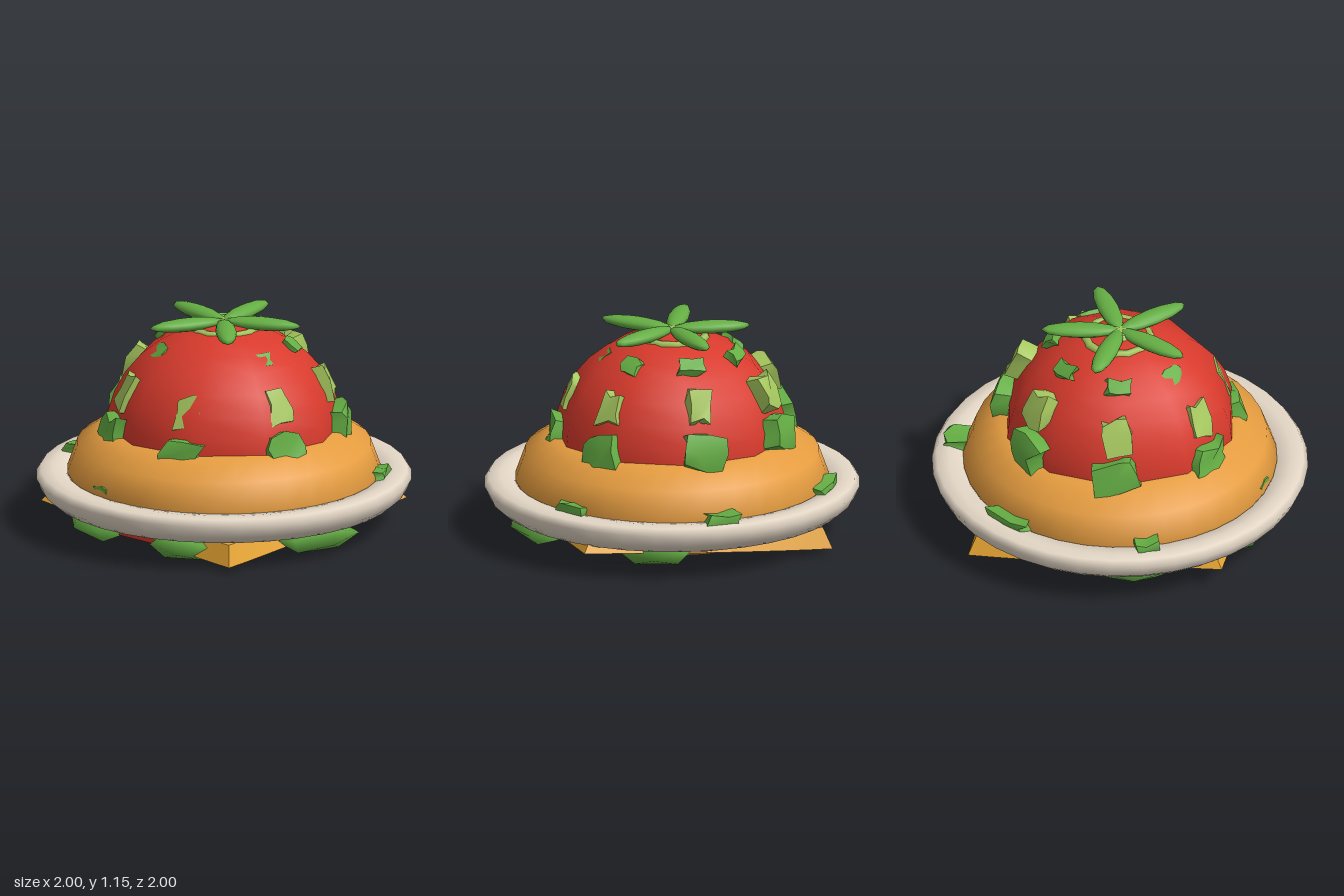
import * as THREE from 'three';
import { mergeVertices } from 'three/addons/utils/BufferGeometryUtils.js';

const mat = (name, color) => {
  const m = new THREE.MeshStandardMaterial({ color });
  m.name = name;
  return m;
};

export function createModel() {
  const model = new THREE.Group();
  const red = mat('tomatoRed', 0xd83a2c);
  const orange = mat('bunOrange', 0xe69d40);
  const cream = mat('plateCream', 0xe3d6c5);
  const yellow = mat('cheeseYellow', 0xe4a332);
  const green = mat('leafGreen', 0x65ae44);
  const lime = mat('paleGreen', 0xa6c75e);

  let seed = 7;
  const rnd = () => (seed = (seed * 16807) % 2147483647) / 2147483647 - 0.5;

  const add = (name, geo, material, x = 0, y = 0, z = 0, parent = model) => {
    const mesh = new THREE.Mesh(geo, material);
    mesh.name = name;
    mesh.position.set(x, y, z);
    parent.add(mesh);
    return mesh;
  };

  // plate rim
  const rim = [[0.79, 0.24], [0.83, 0.175], [0.92, 0.158], [0.97, 0.2], [1.0, 0.265], [0.975, 0.302],
    [0.91, 0.305], [0.84, 0.295], [0.79, 0.24]].map(p => new THREE.Vector2(...p));
  add('plateRim', new THREE.LatheGeometry(rim, 36), cream);

  // ring-shaped bun
  const bun = new THREE.TorusGeometry(0.55, 0.285, 10, 36);
  bun.rotateX(Math.PI / 2);
  bun.scale(1, 0.91, 1);
  add('bun', bun, orange, 0, 0.297, 0);

  // ten-sided tomato dome
  const dome = new THREE.SphereGeometry(0.63, 10, 8, 0, Math.PI * 2, 0, Math.PI / 2);
  dome.rotateY(Math.PI / 2);
  dome.scale(1, 0.95, 1);
  add('tomatoDome', dome, red, 0, 0.51, 0);

  // layers below the bun
  add('underside', new THREE.CylinderGeometry(0.46, 0.46, 0.05, 24), cream, 0, 0.088, 0);
  const slice = add('tomatoSlice', new THREE.CylinderGeometry(0.71, 0.71, 0.03, 20), red, 0, 0.116, 0);
  slice.quaternion.setFromAxisAngle(new THREE.Vector3(0.87, 0, 0.5).normalize(), 0.06);

  // cheese slab with sloping sides, bent upward at its two side corners
  const cheese = new THREE.BoxGeometry(1.36, 0.11, 1.36, 10, 1, 10);
  cheese.rotateY(Math.PI / 4 + 0.29);
  const p = cheese.attributes.position;
  for (let i = 0; i < p.count; i++) {
    const u = Math.abs(p.getX(i) * 0.957 - p.getZ(i) * 0.29);
    const spread = p.getY(i) > 0 ? 0.95 : 1.01;
    const y = p.getY(i) * (1 - 0.5 * u) + 0.09 + 0.07 * u ** 1.4;
    p.setXYZ(i, p.getX(i) * spread, y, p.getZ(i) * spread);
  }
  cheese.computeVertexNormals();
  add('cheese', cheese, yellow);

  // an irregular chunk with a bulging outer face
  const chunk = (w, h, d) => {
    const g = new THREE.BoxGeometry(w, h, d, 2, 2, 1);
    const q = g.attributes.position;
    const shifts = {};
    for (let i = 0; i < q.count; i++) {
      const [x, y, z] = [q.getX(i), q.getY(i), q.getZ(i)];
      const key = [x, y, z].map(v => Math.sign(v) + 0).join();
      shifts[key] ??= [rnd() * w * 0.35, rnd() * h * 0.35, rnd() * d * 0.2];
      const s = shifts[key];
      const bulge = z > 0 && (x === 0 || y === 0) ? d * 0.12 : 0;
      q.setXYZ(i, x + s[0], y + s[1], z + s[2] + bulge);
    }
    g.computeVertexNormals();
    return g;
  };

  // rows of garnish, lower toward the front: name, material, radius, height, drop, tilt, size
  const rows = [
    ['lowerGarnish', green, 0.585, 0.575, 0.035, 0.2, [0.2, 0.16, 0.13]],
    ['middleGarnish', lime, 0.515, 0.785, 0.05, 0.4, [0.12, 0.17, 0.1]],
    ['upperGarnish', green, 0.355, 0.985, 0.03, 0.85, [0.12, 0.08, 0.04]]
  ];
  for (const [name, material, r, y, drop, tilt, size] of rows) {
    for (let k = 0; k < 7; k++) {
      const a = THREE.MathUtils.degToRad(-8 + k * 51.4);
      const c = add(name, chunk(...size), material, r * Math.cos(a), y - drop * Math.sin(a), r * Math.sin(a) - 0.012);
      c.rotation.set(-tilt, Math.PI / 2 - a, rnd() * 0.35, 'YXZ');
    }
  }

  // small leaf tips along the plate edge: angle, radius, width, depth
  for (const [deg, r, w, d] of [[-5, 0.83, 0.18, 0.08], [188, 0.83, 0.12, 0.12], [-63, 0.85, 0.16, 0.14],
    [241, 0.82, 0.24, 0.1], [128, 0.79, 0.1, 0.06]]) {
    const a = THREE.MathUtils.degToRad(deg);
    const c = add('edgeLeaf', chunk(w, 0.07, d), green, r * Math.cos(a), 0.305, r * Math.sin(a));
    c.rotation.y = Math.PI / 2 - a;
  }

  // lettuce under the plate: angle, radius, half width
  for (const [deg, r, w] of [[92, 0.74, 0.19], [142, 0.73, 0.22], [192, 0.7, 0.26], [248, 0.58, 0.24],
    [322, 0.66, 0.22], [33, 0.74, 0.27]]) {
    const a = THREE.MathUtils.degToRad(deg);
    let g = new THREE.IcosahedronGeometry(1, 0);
    g.deleteAttribute('normal');
    g.deleteAttribute('uv');
    g = mergeVertices(g);
    g.scale(w, 0.085, 0.15);
    g.computeVertexNormals();
    const c = add('lettuce', g, green, r * Math.cos(a), 0.084, r * Math.sin(a));
    c.rotation.set(-0.2, Math.PI / 2 - a, rnd() * 0.2, 'YXZ');
  }

  // star of five leaves with a pale collar
  const star = new THREE.Group();
  star.name = 'leafStar';
  model.add(star);
  for (let k = 0; k < 5; k++) {
    const a = (k * Math.PI * 2) / 5;
    const g = new THREE.SphereGeometry(1, 12, 8);
    g.scale(0.21, 0.035, 0.056);
    const leaf = add('starLeaf', g, green, 0.21 * Math.cos(a), 1.115, 0.21 * Math.sin(a), star);
    leaf.rotation.y = -a;
  }
  const collar = new THREE.TorusGeometry(0.17, 0.025, 6, 14);
  collar.rotateX(Math.PI / 2);
  add('collar', collar, lime, 0, 1.072, -0.01, star);
  add('stemKnob', new THREE.CylinderGeometry(0.05, 0.08, 0.05, 8), lime, -0.02, 1.1, 0, star);

  return model;
}
